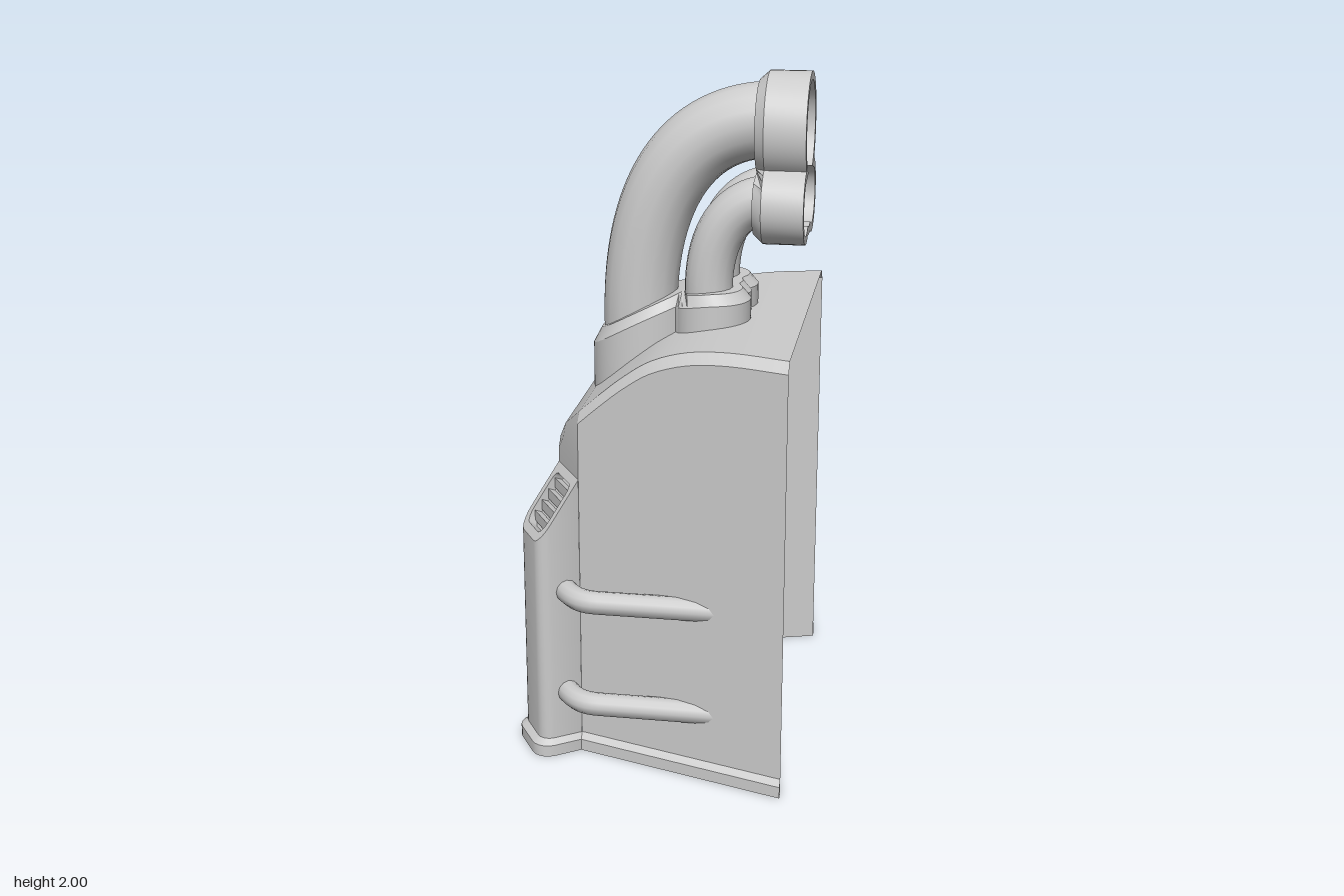
import * as THREE from 'three';
import { toCreasedNormals } from 'three/addons/utils/BufferGeometryUtils.js';

const V = (x, y, z) => new THREE.Vector3(x, y, z);
const material = new THREE.MeshStandardMaterial({ color: 0xcccccc, side: THREE.DoubleSide });

function addMesh(parent, name, geometry) {
  const mesh = new THREE.Mesh(geometry, material);
  mesh.name = name;
  parent.add(mesh);
  return mesh;
}

// Skin a row of equal-length cross-sections
function loft(rings, closed = false) {
  const n = rings[0].length, pos = [], index = [];
  rings.forEach(ring => ring.forEach(p => pos.push(p.x, p.y, p.z)));
  for (let i = 0; i < rings.length - 1; i++) {
    for (let j = 0; j < (closed ? n : n - 1); j++) {
      const a = i * n + j, b = i * n + (j + 1) % n;
      index.push(a, b, b + n, a, b + n, a + n);
    }
  }
  const g = new THREE.BufferGeometry();
  g.setAttribute('position', new THREE.Float32BufferAttribute(pos, 3));
  g.setIndex(index);
  return toCreasedNormals(g, 0.5);
}

// Rounded rectangle; r0 rounds the corners on side a0, r1 those on side a1
function roundRect(a0, a1, b0, b1, r0, r1) {
  const corners = [[a0 + r0, b0 + r0, r0, 2], [a1 - r1, b0 + r1, r1, 3], [a1 - r1, b1 - r1, r1, 4], [a0 + r0, b1 - r0, r0, 5]];
  const pts = [];
  for (const [a, b, r, q] of corners) {
    for (let i = 0; i <= 5; i++) {
      const t = (q + i / 5) * Math.PI / 2;
      pts.push([a + r * Math.cos(t), b + r * Math.sin(t)]);
    }
  }
  return pts;
}

// Framed recess on a sloping face; map(a, b, depth) places points
function recess(map, outer, inner, depth, centre) {
  return loft([
    outer.map(p => map(...p, 0)), inner.map(p => map(...p, 0)),
    inner.map(p => map(...p, depth)), inner.map(() => map(...centre, depth)),
  ], true);
}

// Outline of one large and two small merged circles, as [u, v]
function lobes(inset = 0) {
  const circles = [[0, 0, 0.16], [0.21, 0.09, 0.11], [0.21, -0.09, 0.11], [0.21, 0, 0.1]];
  const origin = 0.115, pts = [];
  for (let i = 0; i < 72; i++) {
    const t = i / 72 * Math.PI * 2, c = Math.cos(t), s = Math.sin(t);
    let far = 0;
    for (const [u, v, r] of circles) {
      const du = u - origin, along = du * c + v * s;
      const d = (r - inset) ** 2 - (du * du + v * v - along * along);
      if (d > 0) far = Math.max(far, along + Math.sqrt(d));
    }
    pts.push([origin + far * c, far * s]);
  }
  return pts;
}

function buildHull(group) {
  const crown = new THREE.CatmullRomCurve3([
    V(0.42, 1.295, 0), V(0.25, 1.295, 0), V(0.13, 1.28, 0), V(0.02, 1.24, 0),
    V(-0.06, 1.185, 0), V(-0.13, 1.125, 0), V(-0.2, 1.06, 0),
  ]).getPoints(24);
  const section = (x, w, h, base) => [
    V(x, base, w), V(x, h - 0.03, w), V(x, h, w - 0.028),
    V(x, h, 0.028 - w), V(x, h - 0.03, -w), V(x, base, -w),
  ];
  // Side walls and curved roof
  addMesh(group, 'hullShell', loft(crown.map(p => section(p.x, 0.35 + (p.x + 0.2) * 0.306, p.y, 0))));
  // Angled nose above the corner posts
  addMesh(group, 'hullNose', loft([
    section(-0.2, 0.35, 1.06, 0.86), section(-0.265, 0.242, 0.985, 0.86), section(-0.29, 0.2, 0.93, 0.86),
  ]));
  addMesh(group, 'noseFace', loft([1, -1].map(s => [
    V(-0.29, 0.63, 0.2 * s), V(-0.29, 0.9, 0.2 * s), V(-0.29, 0.93, 0.172 * s),
  ])));
}

function buildFrontPanel(group) {
  addMesh(group, 'frontPanel', loft([1, -1].map(s => [V(-0.37, 0, 0.255 * s), V(-0.37, 0.53, 0.255 * s)])));
  const slope = (a, b, d) => V(-0.37 + 0.08 * a + 0.78 * d, 0.53 + 0.1 * a - 0.62 * d, b * (0.255 - 0.055 * a));
  const outer = roundRect(0, 1, -1, 1, 0.001, 0.001);
  const inner = roundRect(0.14, 0.86, -0.92, 0.92, 0.12, 0.12);
  addMesh(group, 'frontVent', recess(slope, outer, inner, 0.02, [0.5, 0]));
  addMesh(group, 'frontSkirt', loft([1, -1].map(s => [
    V(-0.37, 0, 0.27 * s), V(-0.39, 0, 0.27 * s), V(-0.39, 0.035, 0.27 * s), V(-0.37, 0.05, 0.27 * s),
  ])));
}

// Corner post, handrails and skirt of one side
function buildSide(name) {
  const side = new THREE.Group();
  side.name = name;
  const width = 0.175, deep = 0.13;
  const along = V(-0.09, 0, -0.15).normalize(), out = V(-0.15, 0, 0.09).normalize().lerp(V(-0.7, 0, 0.71), 0.3).normalize();
  const place = (s, t, y) => V(-0.2, y, 0.35).addScaledVector(out, s).addScaledVector(along, t);
  const topY = s => 0.86 - 0.18 * s / deep;
  const outline = roundRect(0, deep, 0, width, 0.001, 0.04);
  addMesh(side, 'cornerPost', loft([
    outline.map(([s, t]) => place(s, t, 0)), outline.map(([s, t]) => place(s, t, topY(s))),
  ]));

  // Louvred vent on the sloping post top
  const slope = (s, t, d) => place(s - 0.81 * d, t, topY(s) - 0.585 * d);
  const inner = roundRect(0.016, deep - 0.016, 0.022, width - 0.022, 0.018, 0.026);
  addMesh(side, 'postVent', recess(slope, outline, inner, 0.03, [deep / 2, width / 2]));
  for (let i = 0; i < 4; i++) {
    const s = 0.024 + i * 0.022;
    addMesh(side, 'louvre', loft([0.026, width - 0.026].map(t => [
      slope(s, t, 0.028), slope(s + 0.003, t, 0.006), slope(s + 0.018, t, 0.024),
    ])));
  }

  // Handrails running from the post into the side wall
  const rail = new THREE.CurvePath();
  rail.add(new THREE.LineCurve3(V(0.22, 0, 0.443), V(-0.13, 0, 0.443)));
  rail.add(new THREE.CubicBezierCurve3(V(-0.13, 0, 0.443), V(-0.2, 0, 0.443), V(-0.225, 0, 0.39), V(-0.27, 0, 0.315)));
  for (const y of [0.195, 0.52]) {
    addMesh(side, 'handrail', new THREE.TubeGeometry(rail, 32, 0.034, 12)).position.y = y;
  }

  // Base skirt around wall and post
  addMesh(side, 'wallSkirt', loft([[0.42, 0.54], [-0.2, 0.35]].map(([x, z]) => [
    V(x, 0, z), V(x, 0, z + 0.021), V(x, 0.035, z + 0.021), V(x, 0.05, z),
  ])));
  const flange = roundRect(0, deep + 0.02, -0.018, width + 0.018, 0.001, 0.055);
  addMesh(side, 'postSkirt', loft([[outline, 0], [flange, 0], [flange, 0.035], [outline, 0.05]]
    .map(([pts, y]) => pts.map(([s, t]) => place(s, t, y)))));
  return side;
}

function buildExhaust() {
  const exhaust = new THREE.Group();
  exhaust.name = 'exhaust';
  exhaust.position.z = 0.01;

  // Three-lobed collar passing through the roof
  const collarTop = x => 1.385 - 0.17 * Math.max(0, (0.18 - x) / 0.395) ** 1.7;
  const ring = (inset, drop, base, scale = 1) => lobes(inset).map(([u, v]) => {
    const x = -0.055 + 0.115 + (u - 0.115) * scale;
    return V(x, base ?? collarTop(x) - drop, v * scale);
  });
  addMesh(exhaust, 'collar', loft([
    ring(0, 0, 1.02), ring(0, 0.03), ring(0.025, 0), ring(0.025, 0, undefined, 0.66),
    ring(0.025, 0, undefined, 0.33), ring(0.025, 0, undefined, 0),
  ], true));

  // Bent pipes
  const pipe = (name, x, z, radius, y0, y1, bend) => {
    const path = new THREE.CurvePath();
    path.add(new THREE.LineCurve3(V(x, 1.08, z), V(x, y0, z)));
    path.add(new THREE.CubicBezierCurve3(V(x, y0, z), V(x, y0 + (y1 - y0) * 0.62, z), V(0.3 - bend, y1 - 0.015, z), V(0.3, y1, z)));
    path.add(new THREE.LineCurve3(V(0.3, y1, z), V(0.36, y1, z)));
    addMesh(exhaust, name, new THREE.TubeGeometry(path, 48, radius, 16));
  };
  pipe('mainPipe', -0.075, 0, 0.11, 1.28, 1.86, 0.24);
  for (const s of [1, -1]) pipe('smallPipe', 0.14, 0.08 * s, 0.07, 1.38, 1.645, 0.09);

  // Hollow nozzle shroud around the pipe ends
  const shroud = (x, inset, scale = 1) => lobes(inset).map(([u, v]) => V(x, 1.84 - 0.115 - (u - 0.115) * scale, v * scale));
  addMesh(exhaust, 'nozzleShroud', loft([
    shroud(0.31, 0.025, 0), shroud(0.31, 0.025), shroud(0.42, 0.025), shroud(0.42, 0),
    shroud(0.3, 0), shroud(0.272, 0.025), shroud(0.272, 0.025, 0),
  ], true));
  return exhaust;
}

export function createModel() {
  const group = new THREE.Group();
  group.name = 'ventHousing';
  buildHull(group);
  buildFrontPanel(group);
  group.add(buildSide('leftSide'));
  const mirrored = buildSide('rightSide');
  mirrored.scale.z = -1;
  group.add(mirrored);
  group.add(buildExhaust());
  return group;
}
